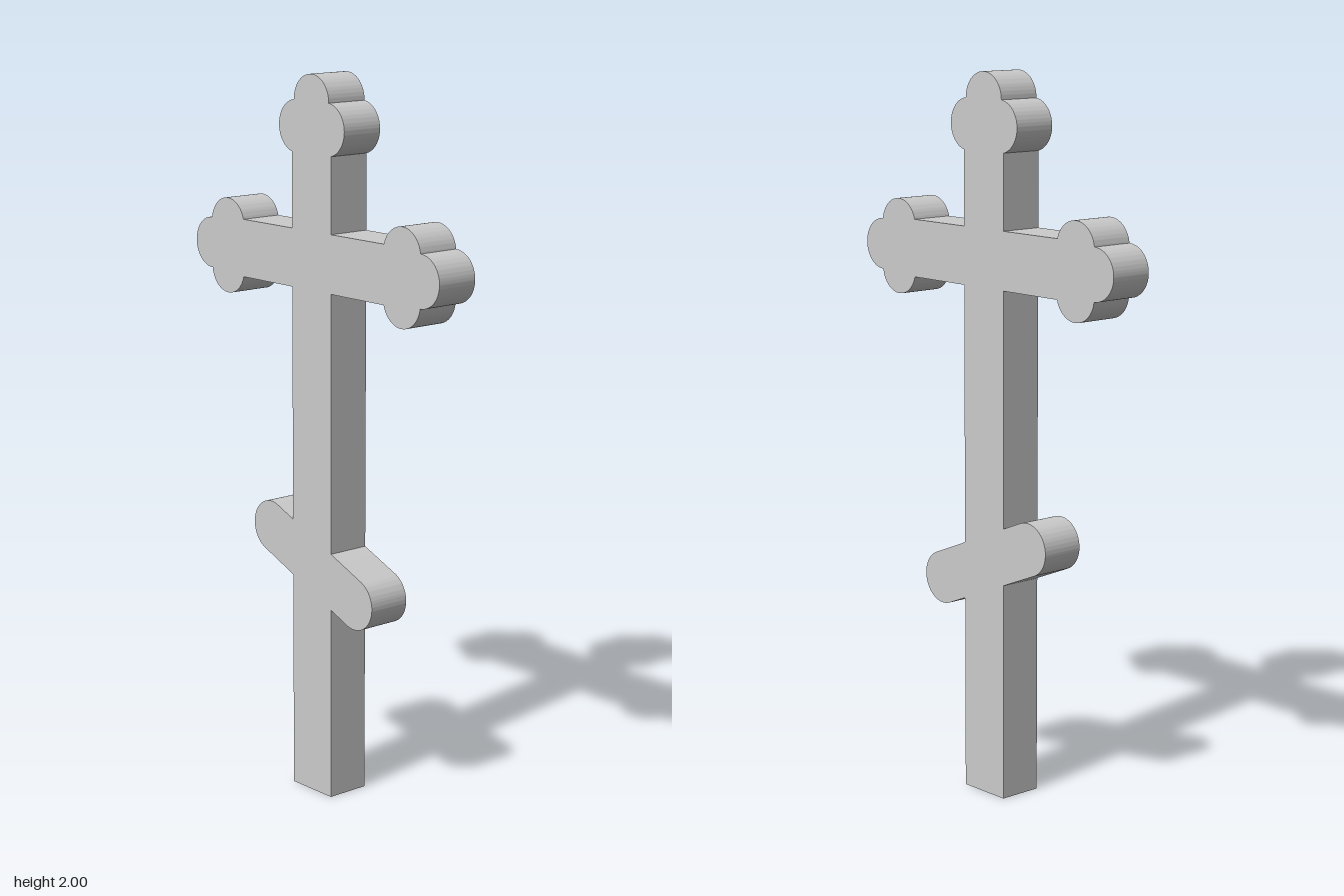
import * as THREE from 'three';
import { toCreasedNormals } from 'three/addons/utils/BufferGeometryUtils.js';

const HALF = 0.08;      // half width of post and crossbar
const DEPTH = 0.125;
const LOBE = 0.071;     // radius of every lobe
const SPREAD = 0.062;   // sideways offset of the two side lobes
const ARM_Y = 1.503;    // crossbar centre line
const FOOT = { y: 0.658, x: 0.175, drop: 0.0725, r: 0.0735 };

// Three-lobed end: two side lobes around (x, y) and a tip lobe pointing along angle `dir`
function trefoil(shape, x, y, dir) {
  const c = Math.cos(dir), s = Math.sin(dir);
  const arc = (u, v, from, to) =>
    shape.absarc(x + u * c - v * s, y + u * s + v * c, LOBE, from + dir, to + dir, false);

  // where a side lobe leaves the bar, and where it meets the tip lobe
  const start = -Math.acos((SPREAD - HALF) / LOBE) - Math.PI / 2 + Math.PI;
  const root = Math.atan2(-(HALF - SPREAD), -Math.sqrt(LOBE ** 2 - (HALF - SPREAD) ** 2));
  const d = Math.hypot(LOBE, SPREAD);
  const h = Math.sqrt(LOBE ** 2 - (d / 2) ** 2);
  const mu = LOBE / 2 + h * SPREAD / d;
  const mv = -SPREAD / 2 - h * LOBE / d;
  const sideEnd = Math.atan2(mv + SPREAD, mu);
  const tipStart = Math.atan2(mv, mu - LOBE);

  arc(0, -SPREAD, root, sideEnd);
  arc(LOBE, 0, tipStart, -tipStart);
  arc(0, SPREAD, -sideEnd, -root);
}

// Round end of the slanted footrest on side +1 or -1, joined to the post edge
function footrestEnd(shape, side) {
  const tilt = Math.atan2(-FOOT.drop, FOOT.x);
  const edgeY = FOOT.y + side * HALF * Math.tan(tilt);
  const rise = FOOT.r / Math.cos(tilt);
  const dir = side > 0 ? tilt : tilt + Math.PI;
  shape.lineTo(side * HALF, edgeY - side * rise);
  shape.absarc(side * FOOT.x, FOOT.y - side * FOOT.drop, FOOT.r,
    dir - Math.PI / 2, dir + Math.PI / 2, false);
  shape.lineTo(side * HALF, edgeY + side * rise);
}

export function createModel() {
  const group = new THREE.Group();
  group.name = 'cross';

  // One counter-clockwise outline: post, footrest, crossbar and lobed ends
  const outline = new THREE.Shape();
  outline.moveTo(-HALF, 0);
  outline.lineTo(HALF, 0);
  footrestEnd(outline, 1);
  outline.lineTo(HALF, ARM_Y - HALF);
  trefoil(outline, 0.358, ARM_Y, 0);
  outline.lineTo(HALF, ARM_Y + HALF);
  trefoil(outline, 0, 1.858, Math.PI / 2);
  outline.lineTo(-HALF, ARM_Y + HALF);
  trefoil(outline, -0.358, ARM_Y, Math.PI);
  outline.lineTo(-HALF, ARM_Y - HALF);
  footrestEnd(outline, -1);
  outline.closePath();

  const geometry = new THREE.ExtrudeGeometry(outline, {
    depth: DEPTH, bevelEnabled: false, curveSegments: 32,
  });
  geometry.translate(0, 0, -DEPTH / 2);

  const body = new THREE.Mesh(
    toCreasedNormals(geometry, 0.4),
    new THREE.MeshStandardMaterial({ color: 0xcccccc }),
  );
  body.name = 'crossBody';
  group.add(body);
  return group;
}
